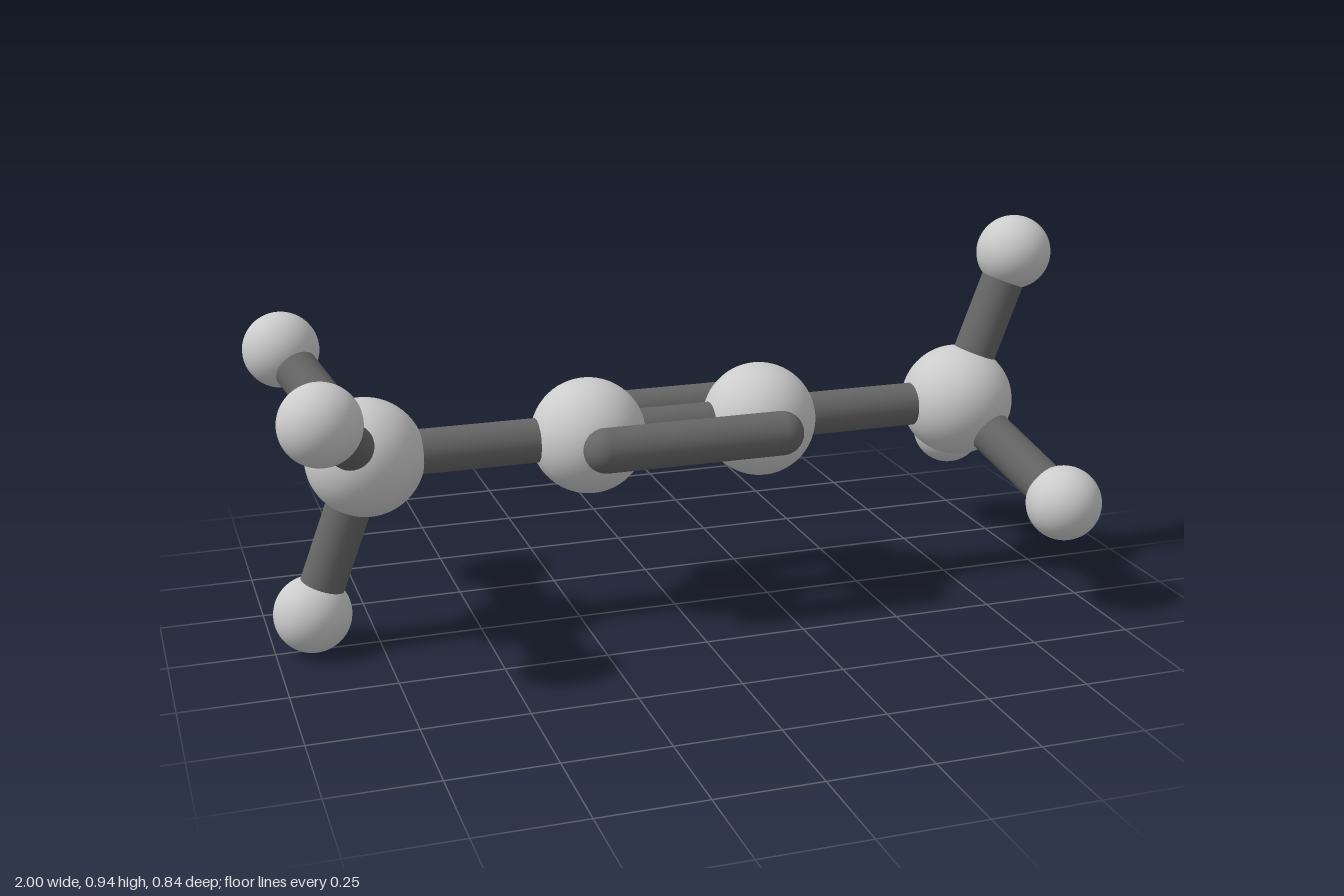
import * as THREE from 'three';

const AXIS_Y = 0.471, BOND_R = 0.054;

export function createModel() {
  const model = new THREE.Group();
  const atomMat = new THREE.MeshStandardMaterial({ color: 0xcccccc });
  const bondMat = new THREE.MeshStandardMaterial({ color: 0x666666 });
  const up = new THREE.Vector3(0, 1, 0);

  function atom(name, pos, radius) {
    const mesh = new THREE.Mesh(new THREE.SphereGeometry(radius, 48, 32), atomMat);
    mesh.name = name;
    mesh.position.copy(pos);
    model.add(mesh);
  }

  // Rod between two points, optionally with rounded ends
  function bond(name, a, b, rounded = false) {
    const dir = b.clone().sub(a);
    const length = dir.length();
    const geometry = rounded
      ? new THREE.CapsuleGeometry(BOND_R, length - 2 * BOND_R, 10, 32)
      : new THREE.CylinderGeometry(BOND_R, BOND_R, length, 32);
    const mesh = new THREE.Mesh(geometry, bondMat);
    mesh.name = name;
    mesh.position.copy(a).add(b).multiplyScalar(0.5);
    mesh.quaternion.setFromUnitVectors(up, dir.normalize());
    model.add(mesh);
  }

  // Straight chain of four large atoms
  const chain = [-0.765, -0.221, 0.221, 0.765].map(x => new THREE.Vector3(x, AXIS_Y, 0));
  chain.forEach((p, i) => {
    atom('largeAtom' + (i + 1), p, 0.141);
    if (i) bond('chainBond' + i, chain[i - 1], p);
  });

  // Two outer rods of the triple bond
  for (const s of [1, -1]) {
    const y = AXIS_Y + 0.005 + 0.005 * s;
    bond(s > 0 ? 'frontTripleBond' : 'backTripleBond',
      new THREE.Vector3(-0.276, y, s * 0.161), new THREE.Vector3(0.274, y, s * 0.161), true);
  }

  // Three small atoms at each end, staggered against the other end
  for (const s of [1, -1]) {
    const side = s > 0 ? 'left' : 'right';
    const centre = chain[s > 0 ? 3 : 0];
    for (let i = 0; i < 3; i++) {
      const a = i * Math.PI * 2 / 3;
      const p = new THREE.Vector3(s * 0.907, AXIS_Y + s * 0.378 * Math.cos(a), 0.378 * Math.sin(a));
      bond(side + 'EndBond' + (i + 1), centre, p);
      atom(side + 'SmallAtom' + (i + 1), p, 0.093);
    }
  }
  return model;
}
